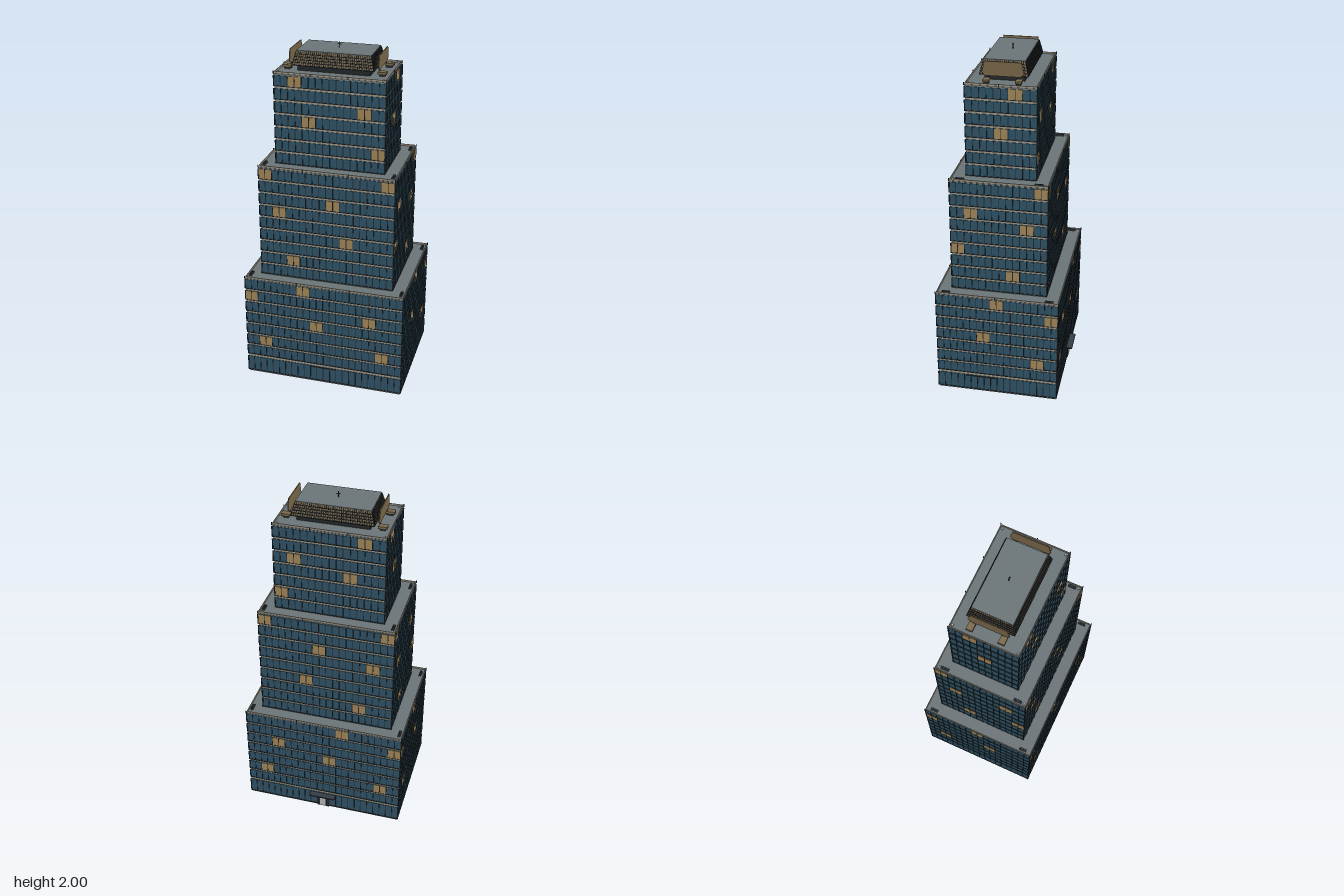
import * as THREE from 'three';
import { mergeGeometries } from 'three/addons/utils/BufferGeometryUtils.js';

const mat = (name, color) => {
  const m = new THREE.MeshStandardMaterial({ color });
  m.name = name;
  return m;
};

const PANE = 0.0395;   // window pitch
const FLOOR = 0.0753;  // storey pitch
const ZC = 0.0145;     // tower centre in z
const floorY = k => 0.155 + FLOOR * k;

// Lit window pairs by storey, counted from the low-coordinate end of each wall
const LIT = {
  1: [1, 10], 3: [5], 4: [9], 5: [0], 6: [4], 8: [2], 10: [6], 12: [1],
  13: [5], 15: [0, 9], 17: [7], 19: [2], 20: [6], 22: [1],
};

const TIERS = [
  { name: 'lower', nx: 24, nz: 18, first: 0, last: 6, y0: 0, roof: 0.645 },
  { name: 'middle', nx: 20, nz: 14, first: 7, last: 15, y0: 0.64, roof: 1.325 },
  { name: 'upper', nx: 16, nz: 10, first: 16, last: 22, y0: 1.32, roof: 1.853 },
];

const box = (w, h, d, x, y, z) => new THREE.BoxGeometry(w, h, d).translate(x, y, z);

export function createModel() {
  const root = new THREE.Group();
  root.name = 'steppedTower';
  const M = {
    glass: mat('blueGlass', 0x31566b),
    stone: mat('paleStone', 0xa39c8c),
    dark: mat('darkFrame', 0x25292c),
    roof: mat('greyRoof', 0x6c7578),
    lit: mat('litWindow', 0xa88c5c),
    bronze: mat('bronze', 0x7d6b4c),
    canopy: mat('slateCanopy', 0x363e46),
    pale: mat('paleMetal', 0xb9bfc0),
  };
  const add = (name, geos, material, parent = root) => {
    const mesh = new THREE.Mesh(Array.isArray(geos) ? mergeGeometries(geos) : geos, material);
    mesh.name = name;
    parent.add(mesh);
    return mesh;
  };

  // A rectangular rim made from four bars
  const rim = (hx, hz, t, h, y) => [
    ...[-1, 1].map(s => box(2 * hx, h, t, 0, y, ZC + s * (hz - t / 2))),
    ...[-1, 1].map(s => box(t, h, 2 * hz - 2 * t, s * (hx - t / 2), y, ZC)),
  ];

  for (const t of TIERS) {
    const g = new THREE.Group();
    g.name = t.name + 'Tier';
    root.add(g);
    const hx = t.nx * PANE / 2, hz = t.nz * PANE / 2;

    // Stone core shows as the slab edge between window bands
    const coreH = t.roof - t.y0 - 0.004;
    add('core', box(2 * hx - 0.01, coreH, 2 * hz - 0.01, 0, t.y0 + coreH / 2, ZC), M.stone, g);

    const bands = [], mullions = [], lit = [];
    const storey = (y, h, pairs) => {
      bands.push(box(2 * hx - 0.004, h, 2 * hz - 0.004, 0, y, ZC));
      for (const s of [-1, 1]) {
        for (let i = 0; i <= t.nx; i++) {
          mullions.push(box(0.004, h, 0.005, (i - t.nx / 2) * PANE, y, ZC + s * (hz - 0.0015)));
        }
        for (let i = 0; i <= t.nz; i++) {
          mullions.push(box(0.005, h, 0.004, s * (hx - 0.0015), y, ZC + (i - t.nz / 2) * PANE));
        }
        for (const m of pairs) {
          for (const i of [2 * m, 2 * m + 1]) {
            const w = PANE - 0.004, p = 0.5 + i;
            if (i < t.nx) lit.push(box(w, h, 0.004, (p - t.nx / 2) * PANE, y, ZC + s * (hz - 0.002)));
            if (i < t.nz) lit.push(box(0.004, h, w, s * (hx - 0.002), y, ZC + (p - t.nz / 2) * PANE));
          }
        }
      }
      // Thin frame along the foot of the band
      mullions.push(...rim(hx + 0.001, hz + 0.001, 0.006, 0.004, y - h / 2 + 0.001));
    };
    if (t.first === 0) storey(0.058, 0.096, []);
    for (let k = t.first; k <= t.last; k++) storey(floorY(k), 0.062, LIT[k] || []);
    add('windowBands', bands, M.glass, g);
    add('mullions', mullions, M.dark, g);
    add('litWindows', lit, M.lit, g);

    // Roof deck, parapet and edge lamps
    add('roofDeck', box(2 * hx - 0.002, 0.006, 2 * hz - 0.002, 0, t.roof - 0.003, ZC), M.roof, g);
    add('parapet', rim(hx - 0.003, hz - 0.003, 0.004, 0.01, t.roof + 0.005), M.stone, g);
    const lamps = [];
    for (const s of [-1, 1]) {
      for (const f of [-1, -1 / 3, 1 / 3, 1]) {
        lamps.push(box(0.004, 0.016, 0.004, f * hx, t.roof + 0.005, ZC + s * hz));
      }
      lamps.push(box(0.004, 0.016, 0.004, s * hx, t.roof + 0.005, ZC + 0.01));
    }
    add('edgePosts', lamps, M.dark, g);

    // Slotted vents on the two setbacks, pale hatches on the upper roofs
    const vents = [], slots = [], hatches = [];
    for (const sx of [-1, 1]) for (const sz of [-1, 1]) {
      if (t.name !== 'upper') {
        const x = sx * (hx - 0.023), z = ZC + sz * (hz - 0.057);
        vents.push(box(0.015, 0.01, 0.046, x, t.roof + 0.005, z));
        for (let i = -2; i <= 2; i++) slots.push(box(0.007, 0.004, 0.005, x, t.roof + 0.01, z + i * 0.008));
      }
      if (t.name !== 'lower') {
        hatches.push(box(0.011, 0.008, 0.011, sx * (hx - 0.02), t.roof + 0.004, ZC + sz * (hz - 0.018)));
      }
    }
    if (vents.length) {
      add('roofVents', vents, M.canopy, g);
      add('ventSlots', slots, M.dark, g);
    }
    if (hatches.length) add('roofHatches', hatches, M.pale, g);
  }

  // Rooftop machinery boxes
  const units = [], feet = [];
  for (const sx of [-1, 1]) for (const z of [-0.075, 0.1]) {
    units.push(box(0.05, 0.012, 0.035, sx * 0.268, 1.871, z));
    feet.push(box(0.03, 0.014, 0.025, sx * 0.268, 1.859, z));
  }
  add('roofUnits', units, M.bronze);
  add('unitFeet', feet, M.dark);

  // Crown: recessed plinth, tapered ribbed screen and flat cap
  const crown = new THREE.Group();
  crown.name = 'crown';
  root.add(crown);
  add('crownPlinth', box(0.41, 0.04, 0.22, 0, 1.871, ZC), M.dark, crown);
  const Y0 = 1.887, Y1 = 1.962;
  const B = [0.229, 0.131], T = [0.209, 0.113];
  let taper = new THREE.BoxGeometry(2, 1, 2);
  const p = taper.attributes.position;
  for (let i = 0; i < p.count; i++) {
    const h = p.getY(i) > 0 ? T : B;
    p.setXYZ(i, p.getX(i) * h[0], p.getY(i) > 0 ? Y1 : Y0, ZC + p.getZ(i) * h[1]);
  }
  taper = taper.toNonIndexed();
  taper.computeVertexNormals();
  add('crownScreen', taper, M.bronze, crown);
  add('crownCap', box(2 * T[0], 0.004, 2 * T[1], 0, Y1 + 0.002, ZC), M.roof, crown);

  const ribs = [];
  const bar = (a, b) => {
    const d = new THREE.Vector3().subVectors(b, a);
    const q = new THREE.Quaternion().setFromUnitVectors(new THREE.Vector3(0, 1, 0), d.clone().normalize());
    const mid = a.clone().add(b).multiplyScalar(0.5);
    ribs.push(new THREE.BoxGeometry(0.004, d.length(), 0.004).applyQuaternion(q).translate(mid.x, mid.y, mid.z));
  };
  const rib = (u, v) => bar(
    new THREE.Vector3(u * B[0], Y0, ZC + v * B[1]),
    new THREE.Vector3(u * T[0], Y1, ZC + v * T[1]));
  for (const s of [-1, 1]) {
    for (let i = 0; i <= 36; i++) rib(i / 18 - 1, s);
    for (let i = 1; i < 20; i++) rib(s, i / 10 - 1);
  }
  for (let j = 0; j < 5; j++) {
    const f = j / 5;
    ribs.push(...rim(B[0] + (T[0] - B[0]) * f + 0.003, B[1] + (T[1] - B[1]) * f + 0.003,
      0.008, 0.004, Y0 + (Y1 - Y0) * f));
  }
  add('crownRibs', ribs, M.dark, crown);

  // Bronze end screens standing beside the crown
  const sh = new THREE.Shape([[-0.115, 1.905], [-0.095, 1.888], [0.095, 1.888],
    [0.115, 1.905], [0.1, 1.967], [-0.1, 1.967]].map(a => new THREE.Vector2(...a)));
  for (const s of [-1, 1]) {
    const geo = new THREE.ExtrudeGeometry(sh, { depth: 0.005, bevelEnabled: false });
    geo.translate(0, 0, -0.0025).rotateY(Math.PI / 2).translate(s * 0.25, 0, ZC);
    add(s > 0 ? 'leftEndScreen' : 'rightEndScreen', geo, M.bronze, crown);
  }
  add('endScreenStruts', [-1, 1].flatMap(s => [-0.06, 0.09].map(z =>
    box(0.004, 0.045, 0.004, s * 0.25, 1.874, z))), M.dark, crown);

  // Mast with crossbar
  add('mast', [box(0.004, 0.036, 0.004, 0, 1.982, 0.01), box(0.026, 0.003, 0.003, 0, 1.985, 0.01)], M.dark, crown);

  // Entrances: rear canopy with pale door, slim lintels elsewhere
  add('rearCanopy', box(0.16, 0.008, 0.036, 0, 0.1, -0.358), M.canopy);
  add('rearDoorFrame', box(0.075, 0.085, 0.006, 0, 0.046, -0.342), M.dark);
  add('rearDoor', box(0.036, 0.06, 0.006, 0, 0.036, -0.344), M.pale);
  add('lintels', [box(0.16, 0.006, 0.006, 0, 0.102, 0.369), box(0.006, 0.006, 0.18, 0.474, 0.102, 0.11)], M.dark);

  return root;
}
